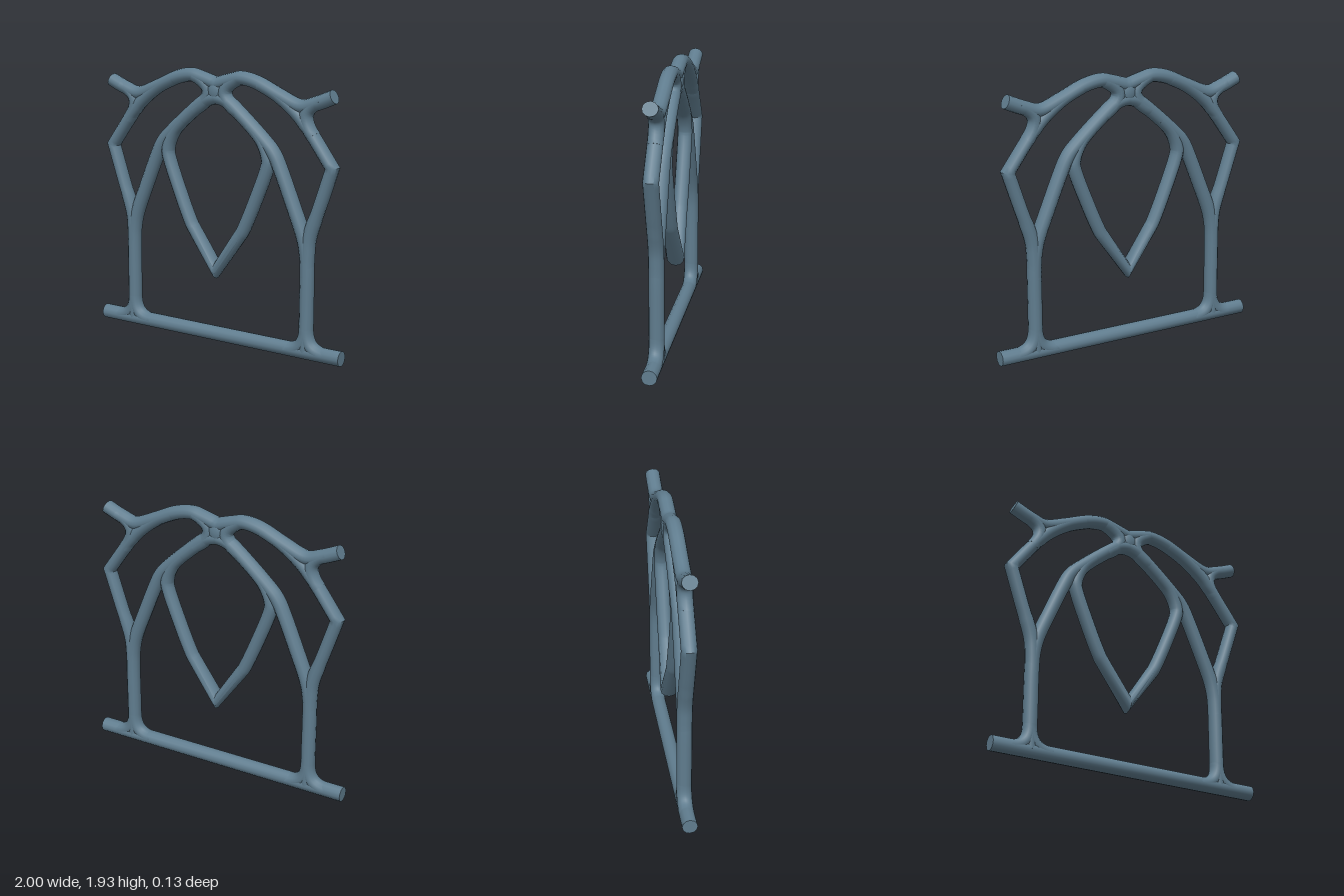
import * as THREE from 'three';
import { toCreasedNormals } from 'three/addons/utils/BufferGeometryUtils.js';

const SIDES = 12, R = 0.05;
const material = new THREE.MeshStandardMaterial({ color: 0x607d8f });

// Smooth curve through [x, y] points, sampled to Vector2s
function smooth(points, steps = 6) {
  return new THREE.SplineCurve(points.map(p => new THREE.Vector2(...p))).getPoints((points.length - 1) * steps);
}
// Rounded corner path a -> c pulled towards b
function bend(a, b, c) {
  return new THREE.QuadraticBezierCurve(...[a, b, c].map(p => new THREE.Vector2(...p))).getPoints(12);
}
const flip = path => path.map(p => new THREE.Vector2(-p.x, p.y)).reverse();
const mirrorJoin = path => [...path, ...flip(path).slice(1)];

// Round bar swept along a flat path with mitred corners and flat end caps.
// radius(p) gives [in-plane radius, depth radius].
function bar(path, radius = () => [R, 0.053]) {
  const pos = [], index = [], n = path.length;
  path.forEach((p, i) => {
    const a = path[Math.max(i - 1, 0)], b = path[Math.min(i + 1, n - 1)];
    const d0 = p.clone().sub(a).normalize(), d1 = b.clone().sub(p).normalize();
    const t = d0.clone().add(d1).normalize();
    const mitre = 1 / Math.max(0.3, t.dot(i ? d0 : d1));
    const [r, rz] = radius(p);
    for (let k = 0; k < SIDES; k++) {
      const ang = (k / SIDES) * Math.PI * 2, c = Math.cos(ang) * r * mitre;
      pos.push(p.x - t.y * c, p.y + t.x * c, Math.sin(ang) * rz);
    }
  });
  for (let i = 0; i < n - 1; i++) for (let k = 0; k < SIDES; k++) {
    const a = i * SIDES + k, b = i * SIDES + (k + 1) % SIDES;
    index.push(a, a + SIDES, b, b, a + SIDES, b + SIDES);
  }
  const last = (n - 1) * SIDES;
  for (let k = 1; k < SIDES - 1; k++) {
    index.push(0, k, k + 1, last, last + k + 1, last + k);
  }
  // Wind faces outward
  for (let i = 0; i < index.length; i += 3) [index[i + 1], index[i + 2]] = [index[i + 2], index[i + 1]];
  const g = new THREE.BufferGeometry();
  g.setAttribute('position', new THREE.Float32BufferAttribute(pos, 3));
  g.setIndex(index);
  orient(g);
  return toCreasedNormals(g, 0.75);
}

// Flip every triangle if the closed bar encloses negative volume
function orient(g) {
  const P = g.attributes.position, I = g.index.array;
  const [a, b, c] = [0, 1, 2].map(() => new THREE.Vector3());
  let volume = 0;
  for (let i = 0; i < I.length; i += 3) {
    [a, b, c].forEach((v, k) => v.fromBufferAttribute(P, I[i + k]));
    volume += a.dot(b.cross(c));
  }
  if (volume < 0) for (let i = 0; i < I.length; i += 3) [I[i + 1], I[i + 2]] = [I[i + 2], I[i + 1]];
}

export function createModel() {
  const group = new THREE.Group();
  const add = (name, geometry) => {
    const mesh = new THREE.Mesh(geometry, material);
    mesh.name = name;
    group.add(mesh);
  };
  const addPair = (name, path, radius) => {
    add(name + 'Right', bar(path, radius));
    add(name + 'Left', bar(flip(path), radius));
  };

  // Base rail
  add('baseRail', bar([new THREE.Vector2(-1, 0.0525), new THREE.Vector2(1, 0.0525)], () => [0.0525, 0.053]));

  // Legs rising into the pointed inner arch
  add('innerArch', bar(mirrorJoin(smooth([
    [-0.727, 0.05], [-0.727, 0.35], [-0.727, 0.62], [-0.718, 0.75], [-0.688, 0.87], [-0.612, 1.056],
    [-0.516, 1.28], [-0.46, 1.388], [-0.385, 1.468], [-0.22, 1.612], [-0.09, 1.712], [0, 1.737],
  ]))));

  // Curved fillets where the legs meet the rail
  for (const s of [-1, 1]) {
    addPair(s < 0 ? 'outerFootFillet' : 'innerFootFillet',
      bend([-0.727, 0.22], [-0.727, 0.053], [-0.727 + s * 0.155, 0.053]));
  }

  // Side braces: out from the leg, sharp elbow, then back in to the top arch
  addPair('sideBrace', [
    ...smooth([[-0.727, 0.58], [-0.729, 0.72], [-0.745, 0.86], [-0.82, 1.08], [-0.905, 1.333]]),
    ...smooth([[-0.905, 1.333], [-0.74, 1.555], [-0.635, 1.675], [-0.49, 1.782], [-0.35, 1.848]]).slice(1),
  ], p => [p.y > 1 && p.y < 1.6 ? 0.045 : 0.049, 0.053]);

  // Double-humped top arch with projecting stubs
  add('topArch', bar(mirrorJoin(smooth([
    [-0.909, 1.802], [-0.78, 1.75], [-0.66, 1.722], [-0.5, 1.782], [-0.337, 1.853],
    [-0.209, 1.879], [-0.12, 1.862], [0, 1.828],
  ])), () => [0.049, 0.053]));
  addPair('stubFillet', bend([-0.82, 1.766], [-0.62, 1.70], [-0.76, 1.53]), () => [0.047, 0.053]);

  // Crown joint between the two arches
  addPair('crownFillet', bend([-0.18, 1.877], [0.05, 1.78], [-0.18, 1.645]));
  const crown = new THREE.SphereGeometry(1, 20, 14);
  crown.scale(0.075, 0.09, 0.056);
  crown.translate(0, 1.783, 0);
  add('crown', crown);

  // Hanging pointed leaf, deeper towards its tip
  const leaf = [
    ...smooth([[-0.27, 1.567], [-0.36, 1.475], [-0.41, 1.365], [-0.402, 1.27], [-0.30, 1.013], [-0.225, 0.845], [-0.195, 0.795]]),
    new THREE.Vector2(0, 0.52),
  ];
  add('hangingLeaf', bar(mirrorJoin(leaf), p => {
    const t = THREE.MathUtils.clamp((0.8 - p.y) / 0.28, 0, 1);
    return [0.047 - 0.01 * t, 0.053 + 0.012 * t];
  }));

  return group;
}
